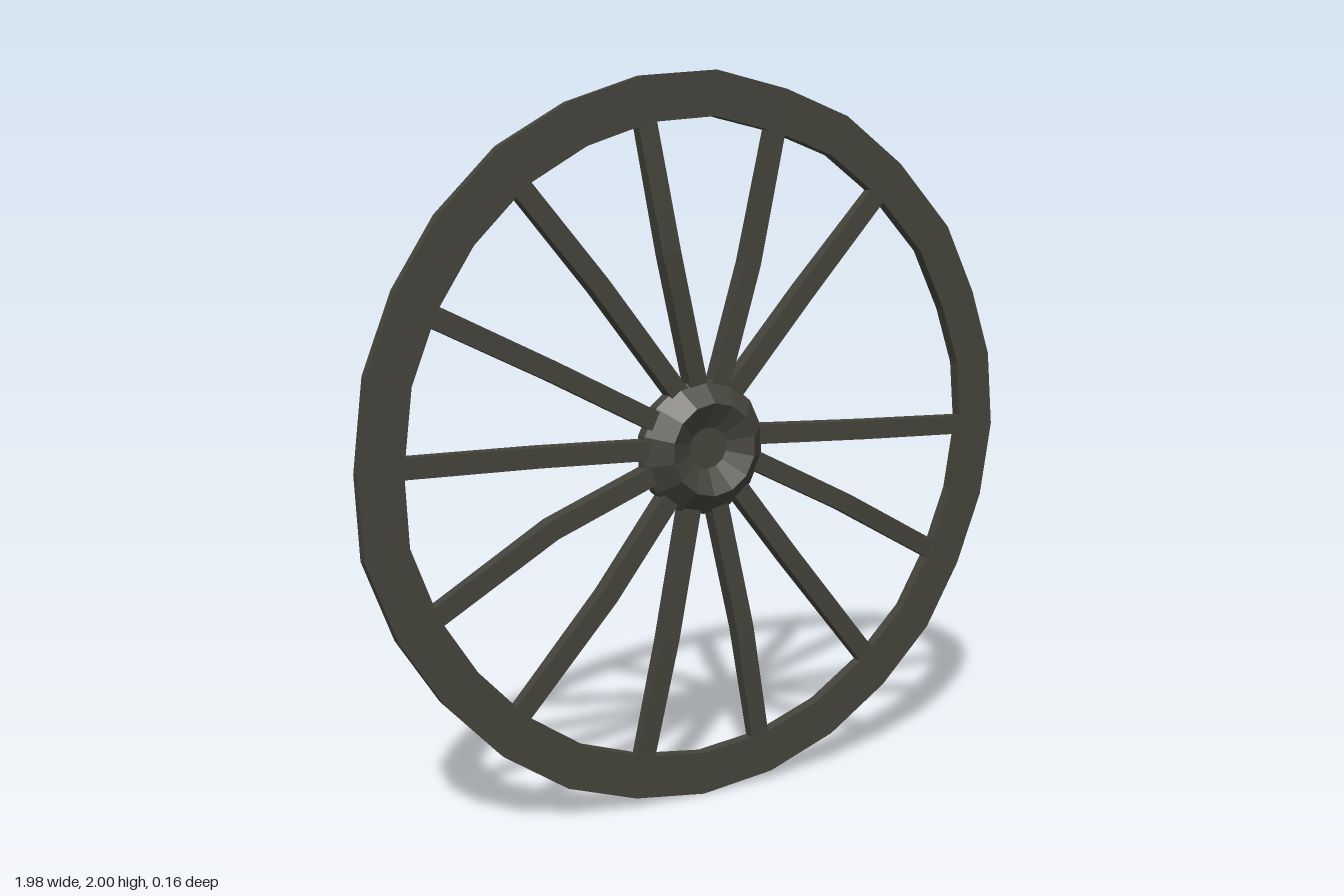
import * as THREE from 'three';

const wood = new THREE.MeshStandardMaterial({ color: 0x44433b });
wood.name = 'darkWood';

// Centre of the rim and of the hub
const RIM = { x: -0.005, y: 1.0 };
const HUB = { x: -0.013, y: 0.995 };

// Hand-hewn rim outline, counter-clockwise from the top (x, y)
const RIM_POINTS = [
  [0.02, 2.0], [-0.2, 1.98], [-0.41, 1.91], [-0.6, 1.8], [-0.765, 1.635], [-0.88, 1.455], [-0.96, 1.25],
  [-0.99, 1.01], [-0.98, 0.79], [-0.9, 0.575], [-0.785, 0.395], [-0.625, 0.225], [-0.44, 0.1], [-0.235, 0.03],
  [-0.02, 0.0], [0.205, 0.025], [0.415, 0.1], [0.6, 0.22], [0.76, 0.375], [0.87, 0.56], [0.95, 0.765],
  [0.985, 0.98], [0.965, 1.195], [0.9, 1.38], [0.8, 1.575], [0.625, 1.755], [0.44, 1.885], [0.24, 1.955],
];

// Spokes: outer x, y, middle x, y, inner x, y, forward bend of the middle
const SPOKES = [
  [-0.188, 1.865, -0.125, 1.525, -0.035, 1.17, 0.016],
  [0.212, 1.86, 0.135, 1.49, 0.035, 1.155, -0.003],
  [0.555, 1.675, 0.31, 1.405, 0.07, 1.13, 0],
  [0.88, 0.985, 0.52, 0.998, 0.165, 1.015, 0],
  [0.785, 0.605, 0.455, 0.79, 0.155, 0.94, 0],
  [0.535, 0.325, 0.27, 0.65, 0.105, 0.86, 0],
  [0.167, 0.14, 0.115, 0.465, 0.035, 0.82, 0],
  [-0.203, 0.14, -0.125, 0.465, -0.055, 0.82, 0],
  [-0.57, 0.33, -0.31, 0.615, -0.12, 0.86, 0],
  [-0.79, 0.63, -0.47, 0.815, -0.175, 0.93, 0],
  [-0.875, 1.017, -0.5, 1.01, -0.185, 1.0, -0.004],
  [-0.79, 1.392, -0.46, 1.23, -0.16, 1.075, 0],
  [-0.543, 1.7, -0.325, 1.445, -0.085, 1.14, 0],
];

function faceted(geometry) {
  const g = geometry.index ? geometry.toNonIndexed() : geometry;
  g.computeVertexNormals();
  return g;
}

// Flat rim with a matching inner outline
function makeRim() {
  const shape = new THREE.Shape(RIM_POINTS.map(([x, y]) => new THREE.Vector2(x, y)));
  const k = 0.88;
  shape.holes.push(new THREE.Path(RIM_POINTS.map(([x, y]) =>
    new THREE.Vector2(RIM.x + (x - RIM.x) * k, RIM.y + (y - RIM.y) * k))));
  const g = new THREE.ExtrudeGeometry(shape, { depth: 0.033, bevelEnabled: false });
  g.translate(0, 0, -0.003);
  return faceted(g);
}

// Square bar bent through three stations: outer, middle, inner
function makeSpoke([ox, oy, mx, my, ix, iy, bend]) {
  const p = [new THREE.Vector2(ox, oy), new THREE.Vector2(mx, my), new THREE.Vector2(ix, iy)];
  // run the ends slightly into the rim and the hub
  const outDir = p[0].clone().sub(p[1]).normalize();
  const inDir = p[2].clone().sub(p[1]).normalize();
  p[0].addScaledVector(outDir, 0.02);
  p[2].addScaledVector(inDir, 0.05);
  const along = [outDir, outDir.clone().sub(inDir).normalize(), inDir.clone().negate()];
  const halfWidth = [0.028, 0.027, 0.027];
  const halfDepth = [0.015, 0.022, 0.023];
  const zMid = [0.0135, 0.008 + bend, 0.004];
  const g = new THREE.BoxGeometry(2, 2, 2, 1, 2, 1);
  const pos = g.attributes.position;
  for (let i = 0; i < pos.count; i++) {
    const s = 1 - Math.round(pos.getY(i));
    const w = pos.getX(i) * halfWidth[s];
    pos.setXYZ(i,
      p[s].x + along[s].y * w,
      p[s].y - along[s].x * w,
      zMid[s] + pos.getZ(i) * halfDepth[s]);
  }
  return faceted(g);
}

// Chamfered hub, dished on both faces
function makeHub() {
  const profile = [
    [0, -0.04], [0.057, -0.04], [0.128, -0.078], [0.188, -0.018],
    [0.188, 0.018], [0.128, 0.078], [0.057, 0.04], [0, 0.04],
  ].map(([r, y]) => new THREE.Vector2(r, y));
  const g = new THREE.LatheGeometry(profile, 14);
  g.rotateX(Math.PI / 2);
  g.translate(HUB.x, HUB.y, 0);
  return faceted(g);
}

export function createModel() {
  const group = new THREE.Group();
  group.name = 'wagonWheel';
  const add = (geometry, name, parent = group) => {
    const mesh = new THREE.Mesh(geometry, wood);
    mesh.name = name;
    parent.add(mesh);
  };
  add(makeRim(), 'rim');
  add(makeHub(), 'hub');
  const spokes = new THREE.Group();
  spokes.name = 'spokes';
  SPOKES.forEach((s, i) => add(makeSpoke(s), `spoke${i + 1}`, spokes));
  group.add(spokes);
  return group;
}
